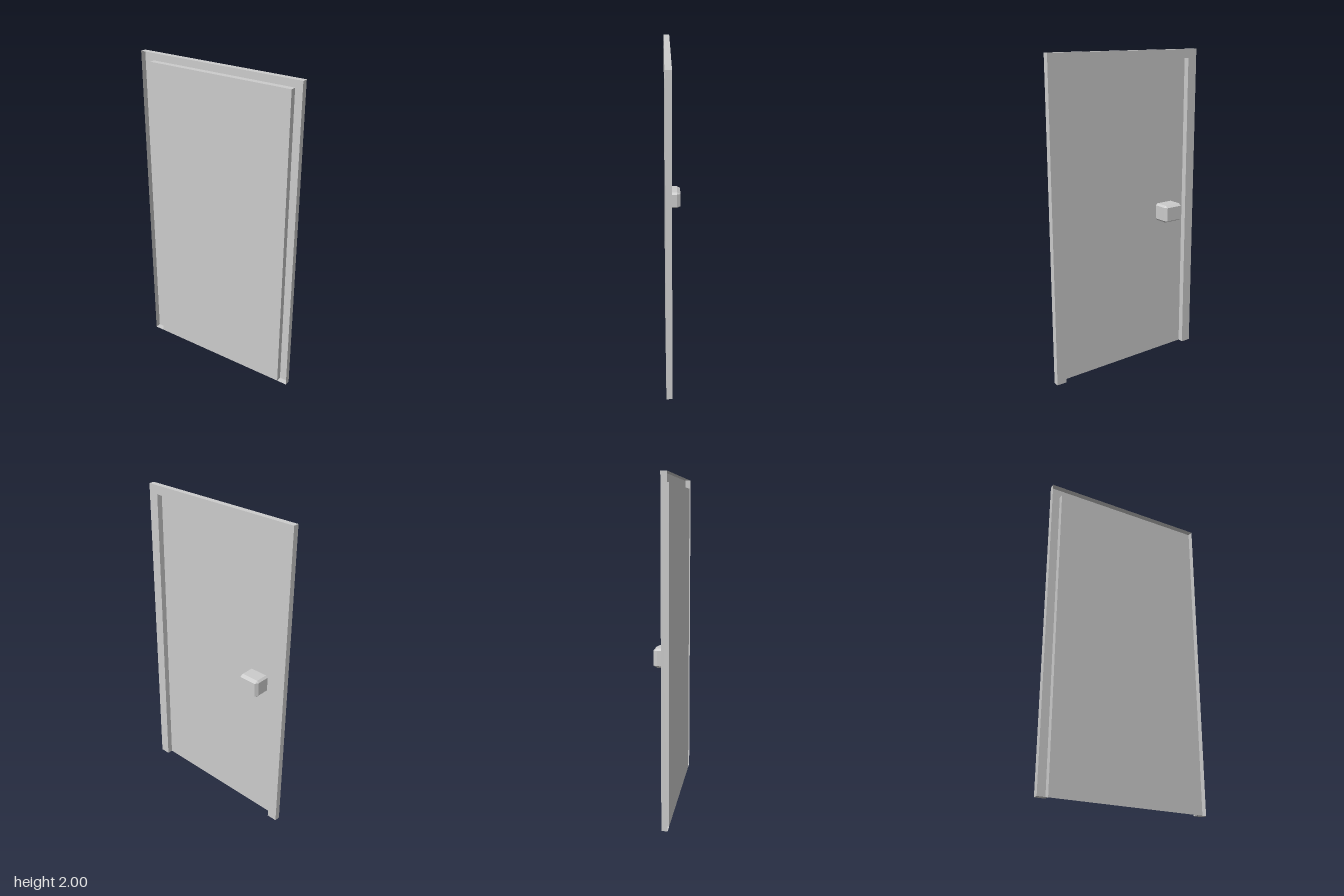
import * as THREE from 'three';
import { ConvexGeometry } from 'three/addons/geometries/ConvexGeometry.js';

const W = 0.54, H = 2;            // outer frame half width and height
const w = 0.475, h = 1.945;       // door leaf half width and height
const BACK = 0.015, FRONT = 0.051; // depth of the frame

export function createModel() {
  const group = new THREE.Group();
  group.name = 'door';
  const sheet = new THREE.MeshStandardMaterial({ color: 0xcccccc, side: THREE.DoubleSide });
  const solid = new THREE.MeshStandardMaterial({ color: 0xcccccc, flatShading: true });

  const add = (parent, name, geometry, material) => {
    const mesh = new THREE.Mesh(geometry, material);
    mesh.name = name;
    parent.add(mesh);
    return mesh;
  };

  // Door frame: a hollow channel, closed at the back and open at the front
  const frame = new THREE.Group();
  frame.name = 'doorFrame';
  group.add(frame);
  const outline = [[-W, 0], [-W, H], [W, H], [W, 0], [w, 0], [w, h], [-w, h], [-w, 0]]
    .map(([x, y]) => new THREE.Vector2(x, y));
  const face = add(frame, 'frameBackFace', new THREE.ShapeGeometry(new THREE.Shape(outline)), sheet);
  face.rotation.y = Math.PI; // symmetric outline, turned to face backwards
  face.position.z = BACK;

  // One thin wall along each edge of the outline, caps at the foot included
  outline.forEach((a, i) => {
    const b = outline[(i + 1) % outline.length];
    const wall = new THREE.PlaneGeometry(a.distanceTo(b), FRONT - BACK);
    wall.rotateX(-Math.PI / 2);
    wall.rotateZ(Math.atan2(b.y - a.y, b.x - a.x));
    wall.translate((a.x + b.x) / 2, (a.y + b.y) / 2, (BACK + FRONT) / 2);
    add(frame, 'frameWall', wall, sheet);
  });

  // Door leaf: thin sheet flush with the front of the frame
  const leaf = add(group, 'doorLeaf', new THREE.PlaneGeometry(2 * w, h), sheet);
  leaf.position.set(0, h / 2, FRONT);

  // Handle: block with bevelled corners and a bevelled end, on the back of the leaf
  const hx = 0.068, hy = 0.056, bevel = 0.012;
  const points = [];
  for (const sx of [-1, 1]) {
    for (const sy of [-1, 1]) {
      for (const z of [FRONT - 0.001, -0.031]) {
        points.push(new THREE.Vector3(sx * hx, sy * (hy - bevel), z));
        points.push(new THREE.Vector3(sx * (hx - bevel), sy * hy, z));
      }
      points.push(new THREE.Vector3(sx * (hx - bevel), sy * (hy - bevel), -0.053));
    }
  }
  const handle = add(group, 'handle', new ConvexGeometry(points), solid);
  handle.position.set(-0.323, 0.974, 0);

  return group;
}
